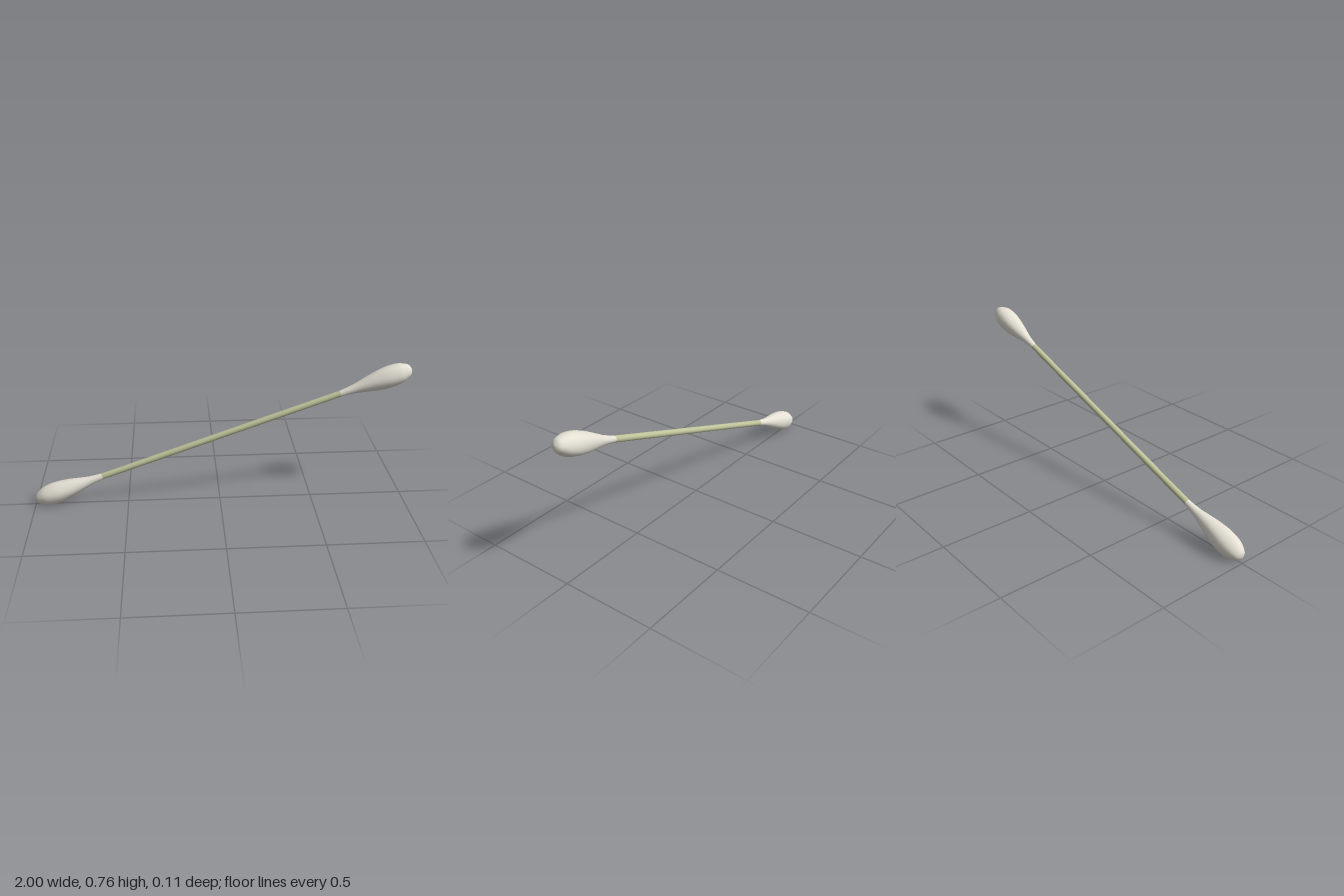
import * as THREE from 'three';
import { mergeVertices } from 'three/addons/utils/BufferGeometryUtils.js';

const SLOPE = 0.34;    // tilt of the stick from horizontal
const CENTRE_Y = 0.38; // height of the stick's middle

// Bud profile: [radius, distance from the stick's middle]
const BUD = [[0.0165, 0.67], [0.019, 0.7], [0.025, 0.75], [0.038, 0.81], [0.05, 0.87],
  [0.057, 0.93], [0.054, 0.985], [0.043, 1.02], [0.026, 1.048], [0, 1.058]];

// Cotton bud with faint wound ridges
function budGeometry() {
  const curve = new THREE.SplineCurve(BUD.map(([r, s]) => new THREE.Vector2(r, s)));
  const points = curve.getPoints(32);
  points.forEach((p) => { p.x = Math.max(p.x, 0); });
  points[points.length - 1].x = 0;
  let geo = new THREE.LatheGeometry(points, 32);
  const pos = geo.attributes.position;
  for (let i = 0; i < pos.count; i++) {
    const x = pos.getX(i), y = pos.getY(i), z = pos.getZ(i);
    const fade = THREE.MathUtils.smoothstep(y, 0.72, 0.88);
    const k = 1 + 0.015 * fade * Math.sin(5 * Math.atan2(z, x) + 14 * y);
    pos.setXYZ(i, x * k, y, z * k);
  }
  // Weld the seam so the shading stays smooth
  geo.deleteAttribute('uv');
  geo.deleteAttribute('normal');
  geo = mergeVertices(geo, 1e-5);
  geo.computeVertexNormals();
  return geo;
}

export function createModel() {
  const model = new THREE.Group();
  model.name = 'cottonSwab';
  const stickMat = new THREE.MeshStandardMaterial({ color: 0xbfc39a });
  const cottonMat = new THREE.MeshStandardMaterial({ color: 0xe4e0d4 });

  // Swab built upright along y, then tilted
  const swab = new THREE.Group();
  swab.name = 'swab';
  swab.position.y = CENTRE_Y;
  swab.rotation.z = SLOPE - Math.PI / 2;
  model.add(swab);

  const stick = new THREE.Mesh(new THREE.CylinderGeometry(0.0165, 0.0165, 1.5, 24), stickMat);
  stick.name = 'stick';
  swab.add(stick);

  // One bud at each end
  const geo = budGeometry();
  for (const [name, turn] of [['leftBud', 0], ['rightBud', Math.PI]]) {
    const bud = new THREE.Mesh(geo, cottonMat);
    bud.name = name;
    bud.rotation.z = turn;
    swab.add(bud);
  }
  return model;
}
